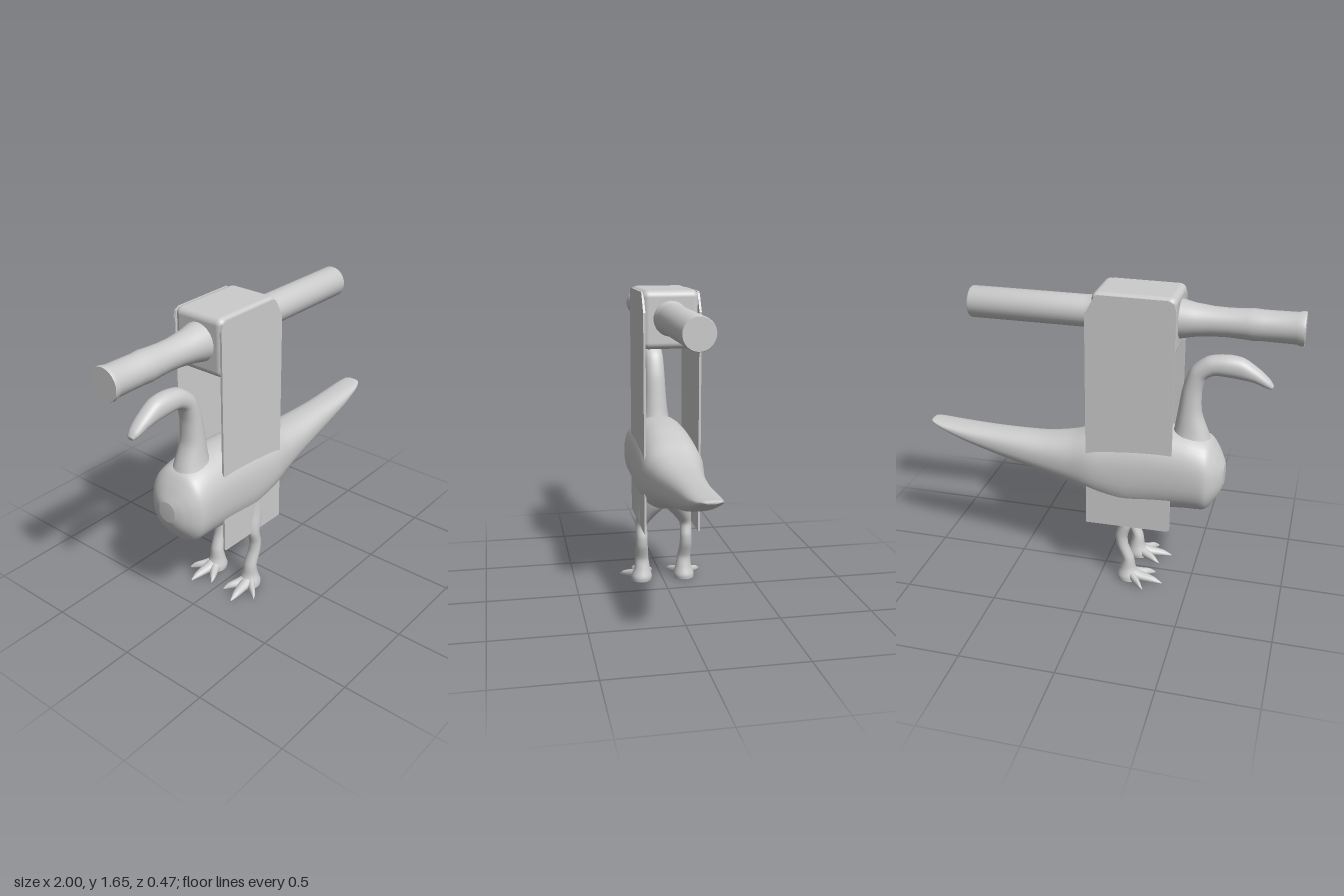
import * as THREE from 'three';
import { toCreasedNormals } from 'three/addons/utils/BufferGeometryUtils.js';
import { RoundedBoxGeometry } from 'three/addons/geometries/RoundedBoxGeometry.js';

const grey = new THREE.MeshStandardMaterial({ color: 0xcccccc });
const MID_Z = -0.013; // the body sits slightly behind the middle

function part(name, geometry, parent) {
  const mesh = new THREE.Mesh(geometry, grey);
  mesh.name = name;
  parent.add(mesh);
  return mesh;
}

// Smooth closed skin through rings. Each ring: [ax, ay, bx, by, halfDepth, centreZ],
// where a and b are its two opposite edge points in the xy plane.
function loft(rings, { steps = 48, sides = 32, power = 2 } = {}) {
  const edgeA = new THREE.CatmullRomCurve3(rings.map(r => new THREE.Vector3(r[0], r[1], r[4])), false, 'catmullrom', 0.4);
  const edgeB = new THREE.CatmullRomCurve3(rings.map(r => new THREE.Vector3(r[2], r[3], r[5])), false, 'catmullrom', 0.4);
  const pos = [], index = [];
  const soft = v => Math.sign(v) * Math.abs(v) ** (2 / power);
  for (let i = 0; i <= steps; i++) {
    const a = edgeA.getPoint(i / steps), b = edgeB.getPoint(i / steps);
    for (let j = 0; j < sides; j++) {
      const t = (j / sides) * Math.PI * 2, u = soft(Math.cos(t)) / 2;
      pos.push((a.x + b.x) / 2 + (a.x - b.x) * u, (a.y + b.y) / 2 + (a.y - b.y) * u, b.z + a.z * soft(Math.sin(t)));
    }
  }
  for (let i = 0; i < steps; i++) {
    for (let j = 0; j < sides; j++) {
      const k = (j + 1) % sides, p = i * sides, q = p + sides;
      index.push(p + j, p + k, q + j, p + k, q + k, q + j);
    }
  }
  // end caps
  for (const end of [0, 1]) {
    const r = rings[end ? rings.length - 1 : 0], c = pos.length / 3, p = end * steps * sides;
    pos.push((r[0] + r[2]) / 2, (r[1] + r[3]) / 2, r[5]);
    for (let j = 0; j < sides; j++) {
      const k = (j + 1) % sides;
      if (end) index.push(c, p + j, p + k);
      else index.push(c, p + k, p + j);
    }
  }
  const g = new THREE.BufferGeometry();
  g.setAttribute('position', new THREE.Float32BufferAttribute(pos, 3));
  g.setIndex(index);
  g.computeVertexNormals();
  return g;
}

function makeLeg(side) {
  const leg = new THREE.Group();
  leg.name = side > 0 ? 'leftLeg' : 'rightLeg';
  // thigh, knee, shank and heel: [backX, frontX, y, halfDepth, z]
  const shank = [
    [0.0, -0.24, 0.56, 0.09, 0.05], [-0.03, -0.21, 0.47, 0.08, 0.068], [-0.07, -0.19, 0.4, 0.052, 0.105],
    [-0.1, -0.175, 0.345, 0.034, 0.126], [-0.088, -0.155, 0.28, 0.033, 0.126], [-0.095, -0.16, 0.22, 0.034, 0.126],
    [-0.125, -0.19, 0.14, 0.038, 0.122], [-0.115, -0.2, 0.08, 0.045, 0.12], [-0.1, -0.22, 0.035, 0.058, 0.122],
    [-0.102, -0.23, 0.008, 0.058, 0.124],
  ].map(([b, f, y, d, z]) => [b, y, f, y, d, z * side]);
  part('shankAndHeel', loft(shank, { sides: 24 }), leg);
  // three clawed toes fanning out towards the beak
  const toes = { outerToe: [-0.265, 0.232], middleToe: [-0.355, 0.145], innerToe: [-0.3, 0.045] };
  for (const [name, [tx, tz]] of Object.entries(toes)) {
    const x0 = -0.17, z0 = 0.125;
    const ring = (t, top, d) => {
      const x = x0 + (tx - x0) * t;
      return [x, 0.005, x, top, d, (z0 + (tz - z0) * t) * side];
    };
    part(name, loft([ring(0, 0.075, 0.04), ring(0.4, 0.055, 0.03), ring(0.75, 0.04, 0.02), ring(1, 0.015, 0.003)],
      { steps: 12, sides: 14 }), leg);
  }
  return leg;
}

export function createModel() {
  const model = new THREE.Group();
  model.name = 'birdWithHandleFrame';

  // body and tail: [x, top, bottom, halfDepth, centre z]
  const body = [
    [-0.652, 0.73, 0.62, 0.05], [-0.635, 0.765, 0.575, 0.095], [-0.605, 0.82, 0.525, 0.14], [-0.56, 0.875, 0.475, 0.172],
    [-0.46, 0.905, 0.468, 0.177], [-0.3, 0.915, 0.455, 0.177], [-0.12, 0.905, 0.44, 0.177], [0.05, 0.868, 0.49, 0.174],
    [0.18, 0.822, 0.538, 0.15], [0.35, 0.797, 0.582, 0.122], [0.6, 0.797, 0.643, 0.095], [0.8, 0.803, 0.708, 0.083],
    [0.93, 0.81, 0.765, 0.068], [0.985, 0.815, 0.793, 0.048], [1.0, 0.812, 0.8, 0.03],
  ].map(([x, t, b, d]) => [x, t, x, b, d, MID_Z]);
  part('bodyAndTail', loft(body, { steps: 84, sides: 40, power: 2.35 }), model);

  // neck curling over into a drooping beak
  const neck = [
    [-0.59, 0.8, -0.33, 0.8, 0.11], [-0.555, 0.9, -0.37, 0.9, 0.08], [-0.515, 1.01, -0.39, 1.02, 0.065],
    [-0.51, 1.13, -0.41, 1.15, 0.058], [-0.53, 1.205, -0.45, 1.26, 0.055], [-0.575, 1.23, -0.53, 1.325, 0.054],
    [-0.64, 1.228, -0.63, 1.342, 0.054], [-0.7, 1.222, -0.715, 1.33, 0.05], [-0.77, 1.212, -0.8, 1.275, 0.042],
    [-0.83, 1.19, -0.85, 1.23, 0.032], [-0.862, 1.182, -0.87, 1.2, 0.018],
  ].map(r => [...r, -0.008]);
  part('neckAndBeak', loft(neck, { steps: 60, power: 2.2 }), model);

  for (const side of [1, -1]) model.add(makeLeg(side));

  // two thin side panels that straddle the body
  const panelShape = new THREE.Shape([
    [-0.39, 0.37], [-0.375, 0.362], [0.07, 0.357], [0.07, 1.55], [0.055, 1.575], [0.02, 1.64],
    [0.0, 1.652], [-0.35, 1.65], [-0.38, 1.635], [-0.39, 1.6],
  ].map(p => new THREE.Vector2(...p)));
  for (const side of [1, -1]) {
    const g = new THREE.ExtrudeGeometry(panelShape, { depth: 0.012, bevelEnabled: false });
    part(side > 0 ? 'leftPanel' : 'rightPanel', g, model).position.z = side > 0 ? 0.13 : -0.166;
  }

  // head block joining the panels, its underside slightly arched
  const block = new RoundedBoxGeometry(0.43, 0.305, 0.3, 5, 0.035);
  block.translate(-0.175, 1.507, -0.01);
  part('headBlock', block, model);

  // handlebar: ridged grip on one end, plain tube on the other
  const profile = [
    [0, -1], [0.083, -1], [0.086, -0.985], [0.079, -0.96], [0.077, -0.8], [0.08, -0.75], [0.077, -0.72],
    [0.073, -0.63], [0.075, -0.55], [0.085, -0.46], [0.1, -0.39], [0.1, -0.3], [0.1, 0.02],
    [0.084, 0.065], [0.083, 0.1], [0.083, 0.715], [0.08, 0.722], [0, 0.722],
  ].map(p => new THREE.Vector2(...p));
  const bar = new THREE.LatheGeometry(profile, 40);
  bar.rotateZ(-Math.PI / 2);
  part('handlebar', toCreasedNormals(bar, 0.7), model).position.set(0, 1.515, -0.01);

  return model;
}
